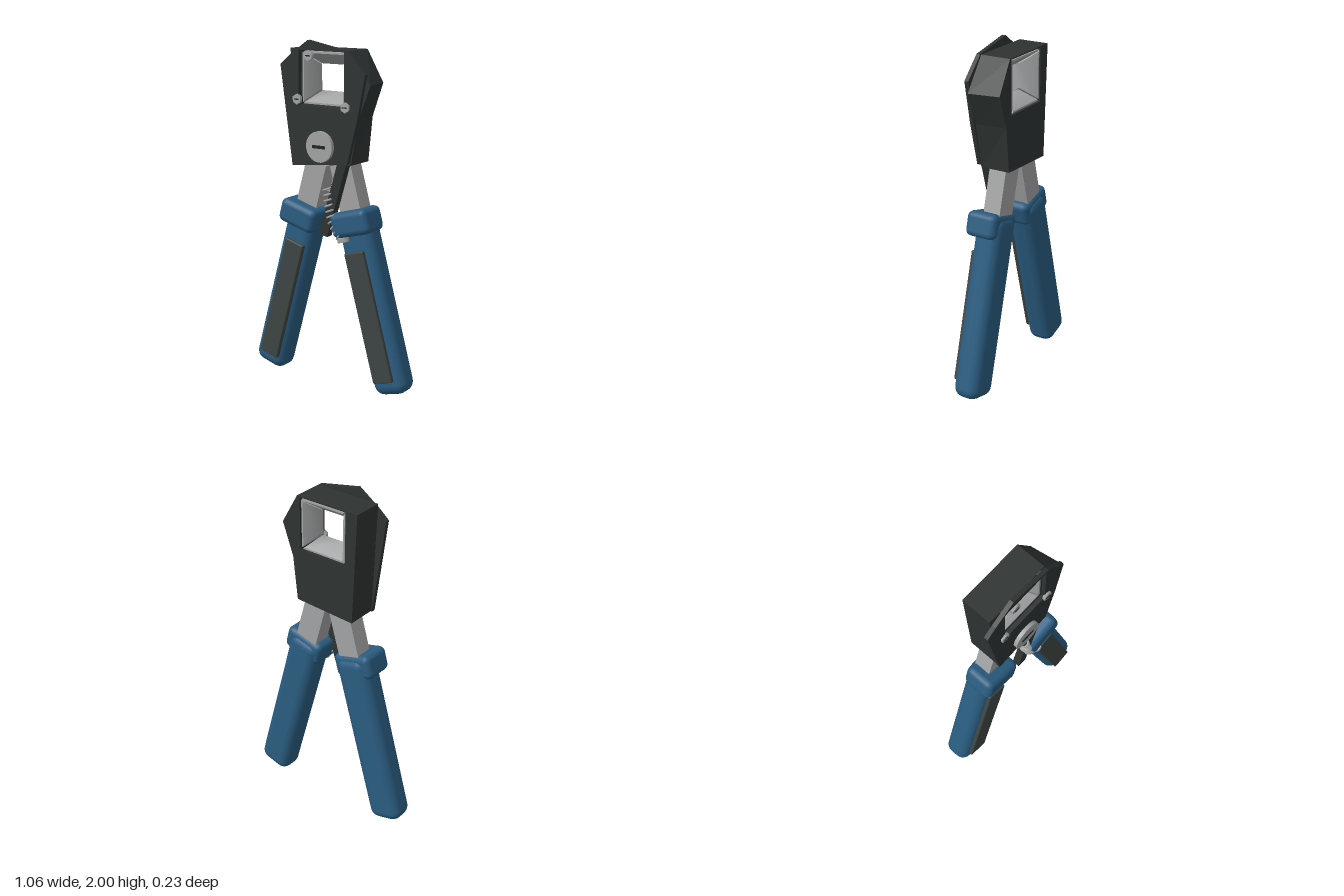
import * as THREE from 'three';
import { RoundedBoxGeometry } from 'three/addons/geometries/RoundedBoxGeometry.js';

const mat = (name, color) => {
  const m = new THREE.MeshStandardMaterial({ color });
  m.name = name;
  return m;
};

export function createModel() {
  const blue = mat('blue grip', 0x2a5c80);
  const dark = mat('dark housing', 0x2e3332);
  const pad = mat('grey pad', 0x3e4543);
  const steel = mat('steel', 0xa2a3a4);
  const black = mat('black slot', 0x222525);
  const root = new THREE.Group();

  const add = (parent, name, geo, material, x = 0, y = 0, z = 0) => {
    const m = new THREE.Mesh(geo, material);
    m.name = name;
    m.position.set(x, y, z);
    parent.add(m);
    return m;
  };

  // Outline with the square jaw window cut out, extruded between z0 and z1
  const windowY = 1.79, half = 0.153;
  const slab = (pts, z0, z1) => {
    const s = new THREE.Shape(pts.map(p => new THREE.Vector2(...p)));
    const hole = [[-1, -1], [-1, 1], [1, 1], [1, -1]];
    s.holes.push(new THREE.Path(hole.map(([a, b]) => new THREE.Vector2(a * half, windowY + b * half))));
    return new THREE.ExtrudeGeometry(s, { depth: z1 - z0, bevelEnabled: false }).translate(0, 0, z0);
  };

  // Head housing, narrowing slightly to the rear on the left side
  const housing = slab([[-0.2, 1.3], [0.18, 1.32], [0.23, 1.58], [0.305, 1.77], [0.17, 1.95], [-0.23, 1.95]], -0.118, 0.06);
  const hp = housing.attributes.position;
  for (let i = 0; i < hp.count; i++) {
    if (hp.getX(i) > 0.2 && hp.getZ(i) < 0) hp.setX(i, hp.getX(i) * 0.9);
  }
  housing.computeVertexNormals();
  add(root, 'headHousing', housing, dark);

  // Front cover plate
  add(root, 'frontPlate', slab([[-0.2, 1.29], [0.175, 1.33], [0.24, 1.58], [0.29, 1.83],
    [0.17, 1.95], [-0.09, 2.0], [-0.22, 1.91], [-0.28, 1.86]], 0.066, 0.09), dark);

  // Four wedge jaws converging on the middle of the window
  for (let k = 0; k < 4; k++) {
    const g = new THREE.BoxGeometry(1, 1, 1, 1, 1, 2);
    const p = g.attributes.position;
    for (let i = 0; i < p.count; i++) {
      const z = p.getZ(i);
      const d = p.getY(i) < 0 ? 0.146 : Math.abs(z) < 0.1 ? 0.075 : 0.136;
      p.setXYZ(i, Math.sign(p.getX(i)) * (d - 0.006), -d, z * 0.175);
    }
    g.computeVertexNormals();
    add(root, 'jaw', g, steel, 0, windowY, -0.026).rotation.z = k * Math.PI / 2;
  }

  // Slotted fasteners: pivot bolt and three small hex screws
  const fastener = (name, x, y, r, z0, z1, sides) => {
    const g = new THREE.CylinderGeometry(r, r, z1 - z0, sides).rotateX(Math.PI / 2);
    add(root, name, g, steel, x, y, (z0 + z1) / 2);
    add(root, name + 'Slot', new THREE.BoxGeometry(r, r * 0.2, 0.006), black, x, y, z1 + 0.001);
  };
  fastener('pivotBolt', 0, 1.415, 0.088, 0.085, 0.112, 32);
  [[-0.16, 1.67], [-0.08, 1.915], [0.165, 1.645]].forEach(([x, y]) => fastener('screw', x, y, 0.03, 0.085, 0.102, 6));

  // Mirrored handles, built upright and leaned towards the pivot
  const lean = 0.271;
  for (const side of [-1, 1]) {
    const h = new THREE.Group();
    h.name = side > 0 ? 'leftHandle' : 'rightHandle';
    h.position.set(side * 0.44, 0.02, 0);
    h.rotation.z = side * lean;
    root.add(h);
    add(h, 'grip', new RoundedBoxGeometry(0.212, 1.07, 0.165, 3, 0.06), blue, 0, 0.528, -0.0275);
    add(h, 'collar', new RoundedBoxGeometry(0.25, 0.145, 0.19, 2, 0.035), blue, side * 0.01, 1.005, 0);
    add(h, 'gripPad', new RoundedBoxGeometry(0.13, 0.765, 0.04, 2, 0.008), pad, side * -0.008, 0.46, 0.055);
    add(h, 'tang', new THREE.BoxGeometry(0.14, 0.36, 0.105), steel, 0, 1.16, -0.03);
  }

  // Locking lever
  const lever = new THREE.Shape([[0.1, 1.33], [-0.028, 0.905], [0.03, 0.895], [0.16, 1.33]].map(p => new THREE.Vector2(...p)));
  add(root, 'lockLever', new THREE.ExtrudeGeometry(lever, { depth: 0.045, bevelEnabled: false }), dark, 0, 0, 0.03);

  // Return spring coiled around a curved path
  const path = new THREE.CatmullRomCurve3([[0.025, 1.18], [0.04, 1.08], [0.07, 0.97], [0.13, 0.895]]
    .map(([x, y]) => new THREE.Vector3(x, y, 0.062)));
  const coil = [], turns = 10, n = turns * 12;
  for (let i = 0; i <= n; i++) {
    const t = i / n, a = t * turns * Math.PI * 2, c = path.getPointAt(t), d = path.getTangentAt(t);
    const r = 0.027;
    coil.push(new THREE.Vector3(c.x - d.y * r * Math.cos(a), c.y + d.x * r * Math.cos(a), c.z + r * Math.sin(a)));
  }
  add(root, 'spring', new THREE.TubeGeometry(new THREE.CatmullRomCurve3(coil), 240, 0.006, 6), steel);
  const seat = add(root, 'springSeat', new THREE.CylinderGeometry(0.036, 0.036, 0.025, 12), steel, 0.135, 0.892, 0.062);
  seat.rotation.z = 0.25;

  return root;
}
